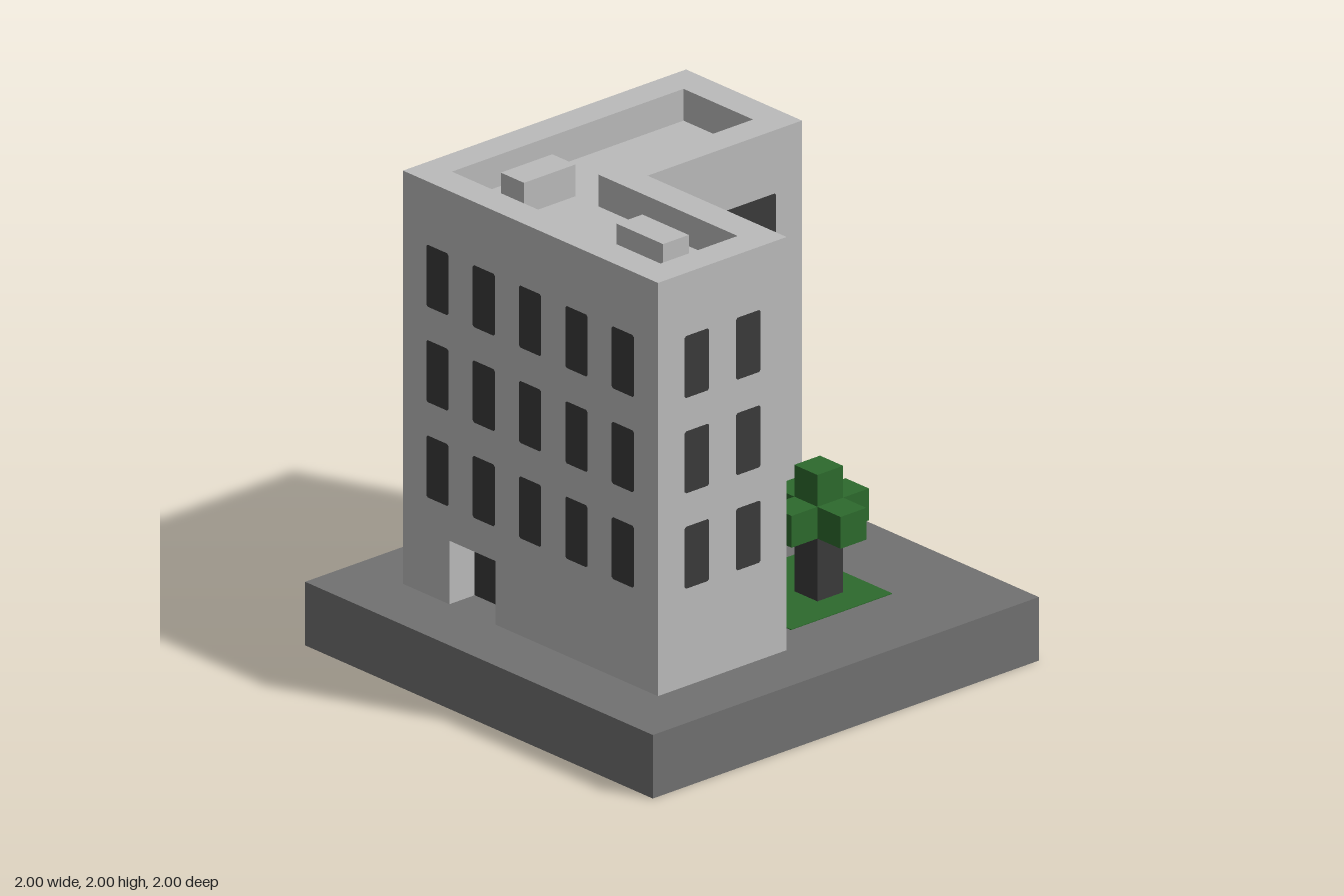
import * as THREE from 'three';

const U = 1 / 15; // building module: every part sits on this grid

function material(name, color) {
  const m = new THREE.MeshStandardMaterial({ color });
  m.name = name;
  return m;
}

export function createModel() {
  const wall = material('light grey wall', 0xbbbbbb);
  const paving = material('grey paving', 0x717171);
  const dark = material('charcoal', 0x3a3a3a);
  const green = material('leaf green', 0x2d6a2d);
  const model = new THREE.Group();
  model.name = 'cornerBuilding';

  function add(name, geometry, mat, parent = model) {
    const mesh = new THREE.Mesh(geometry, mat);
    mesh.name = name;
    parent.add(mesh);
    return mesh;
  }
  // box from its minimum and maximum corners, in modules
  function box(name, min, max, mat, parent) {
    const s = max.map((v, i) => (v - min[i]) * U);
    const c = max.map((v, i) => (v + min[i]) / 2 * U);
    return add(name, new THREE.BoxGeometry(...s).translate(...c), mat, parent);
  }
  // floor plan given as [x, z] modules, raised from y0 to y1
  const outline = (pts) => pts.map(([x, z]) => new THREE.Vector2(x * U, -z * U));
  function storey(name, plan, y0, y1, hole) {
    const shape = new THREE.Shape(outline(plan));
    if (hole) shape.holes.push(new THREE.Path(outline(hole)));
    const g = new THREE.ExtrudeGeometry(shape, { depth: (y1 - y0) * U, bevelEnabled: false });
    add(name, g.rotateX(-Math.PI / 2).translate(0, y0 * U, 0), wall);
  }

  // Base slab
  box('baseSlab', [-15, 0, -15], [15, 4, 15], paving);

  // L-shaped building: ground floor with door niche, upper floors, parapet
  const front = [[-11, 11], [11, 11]];
  const rest = [[11, 1], [-1, 1], [-1, -11], [-11, -11]];
  const niche = [[-7, 11], [-7, 9], [-3, 9], [-3, 11]];
  const inner = [[-9, 9], [9, 9], [9, 3], [-3, 3], [-3, -9], [-9, -9]];
  storey('groundFloor', [front[0], ...niche, front[1], ...rest], 4, 8);
  storey('upperFloors', [...front, ...rest], 8, 28);
  storey('parapet', [...front, ...rest], 28, 30, inner);
  add('door', new THREE.PlaneGeometry(4 * U, 4 * U).translate(-5 * U, 6 * U, 9 * U + 0.002), dark);

  // Roof units
  box('roofUnitLeft', [-7, 28, 3], [-5, 30, 7], wall);
  box('roofUnitRight', [3, 28, 5], [7, 30, 7], wall);

  // Window pane with slightly clipped corners
  function pane(width) {
    const w = width / 2, h = 0.13, c = 0.008;
    return new THREE.ShapeGeometry(new THREE.Shape([
      [-w + c, -h], [w - c, -h], [w, -h + c], [w, h - c],
      [w - c, h], [-w + c, h], [-w, h - c], [-w, -h + c],
    ].map(([x, y]) => new THREE.Vector2(x, y))));
  }
  const narrow = pane(0.128), wide = pane(0.262);

  // One facade: rows from bottom to top, each a list of [centre in modules, pane]
  function facade(name, angle, distance, rows) {
    const g = new THREE.Group();
    g.name = name;
    rows.forEach((row, i) => row.forEach(([x, geometry]) => {
      add('window', geometry, dark, g).position.set(x * U, 0.806 + 0.4 * i, distance * U + 0.002);
    }));
    g.rotation.y = angle;
    model.add(g);
  }
  const even = (xs) => [0, 1, 2].map(() => xs.map((x) => [x, narrow]));
  const mixed = (s) => {
    const a = [[2 * s, narrow], [7 * s, wide]];
    const b = [[3 * s, wide], [8 * s, narrow]];
    return [a, b, a];
  };
  facade('frontWindows', 0, 11, even([-8, -4, 0, 4, 8]));
  facade('rightSideWindows', -Math.PI / 2, 11, even([-8, -4, 0, 4, 8]));
  facade('leftEndWindows', Math.PI / 2, 11, even([-8, -4]));
  facade('backEndWindows', Math.PI, 11, even([4, 8]));
  facade('courtyardSideWindows', Math.PI / 2, -1, mixed(1));
  facade('courtyardBackWindows', Math.PI, -1, mixed(-1));

  // Lawn and tree
  box('lawn', [1.04, 4, -9], [9, 4.05, -1.14], green);
  const tree = new THREE.Group();
  tree.name = 'tree';
  model.add(tree);
  box('trunk', [5, 4, -7], [7, 8, -5], dark, tree);
  box('foliageCore', [5, 8, -7], [7, 12, -5], green, tree);
  for (const [dx, dz] of [[2, 0], [-2, 0], [0, 2], [0, -2]]) {
    box('foliageBranch', [5 + dx, 8, -7 + dz], [7 + dx, 10, -5 + dz], green, tree);
  }
  return model;
}
